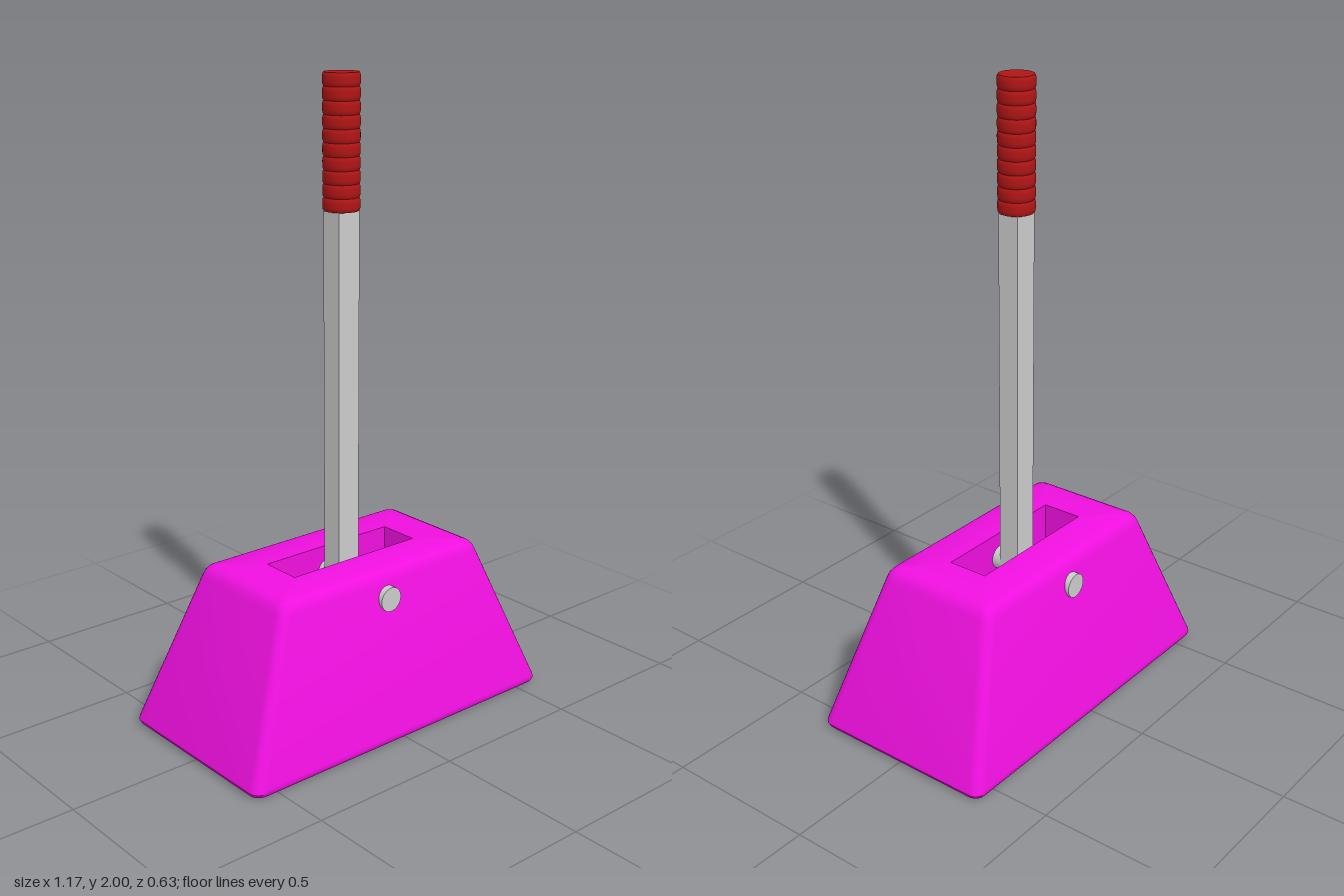
import * as THREE from 'three';
import { toCreasedNormals } from 'three/addons/utils/BufferGeometryUtils.js';

const grey = new THREE.MeshStandardMaterial({ color: 0xcccccc });
const magenta = new THREE.MeshStandardMaterial({ color: 0xf010e0 });
const red = new THREE.MeshStandardMaterial({ color: 0xb01515 });

// Crease at a larger scale so that close vertices are kept apart
function crease(geometry, angle) {
  const g = toCreasedNormals(geometry.scale(100, 100, 100), angle);
  return g.scale(0.01, 0.01, 0.01);
}

// Horizontal rounded rectangle at height y
function ring([y, hx, hz, r]) {
  const points = [], steps = 6;
  for (let q = 0; q < 4; q++) {
    const sx = q === 0 || q === 3 ? 1 : -1, sz = q < 2 ? -1 : 1;
    for (let i = 0; i <= steps; i++) {
      const a = (q + i / steps) * Math.PI / 2;
      points.push(new THREE.Vector3(
        sx * (hx - r) + r * Math.cos(a), y, sz * (hz - r) - r * Math.sin(a)));
    }
  }
  return points;
}

// Skin through consecutive rings
function skin(sections) {
  const rings = sections.map(ring), positions = [];
  const tri = (a, b, c) => {
    if (Math.min(a.distanceTo(b), b.distanceTo(c), c.distanceTo(a)) < 1e-6) return;
    for (const p of [a, b, c]) positions.push(p.x, p.y, p.z);
  };
  for (let k = 0; k < rings.length - 1; k++) {
    const lo = rings[k], hi = rings[k + 1];
    for (let i = 0; i < lo.length; i++) {
      const j = (i + 1) % lo.length;
      tri(lo[i], lo[j], hi[j]);
      tri(lo[i], hi[j], hi[i]);
    }
  }
  const g = new THREE.BufferGeometry();
  g.setAttribute('position', new THREE.Float32BufferAttribute(positions, 3));
  return g;
}

export function createModel() {
  const group = new THREE.Group();
  const add = (name, geometry, material, y = 0) => {
    const mesh = new THREE.Mesh(geometry, material);
    mesh.name = name;
    mesh.position.y = y;
    group.add(mesh);
    return mesh;
  };

  // Tapered base with soft edges and a slot sunk into the top: y, half x, half z, corner
  add('base', crease(skin([
    [0, 0, 0, 0],
    [0, 0.567, 0.297, 0.025],
    [0.006, 0.58, 0.309, 0.032],
    [0.018, 0.586, 0.315, 0.035],
    [0.03, 0.583, 0.313, 0.035],
    [0.485, 0.403, 0.211, 0.035],
    [0.503, 0.395, 0.205, 0.033],
    [0.516, 0.383, 0.194, 0.027],
    [0.523, 0.367, 0.18, 0.02],
    [0.523, 0.242, 0.067, 0],
    [0.1, 0.242, 0.067, 0],
    [0.1, 0, 0, 0],
  ]), 0.7), magenta);

  // Pivot pin running through the base
  add('pivotPin', new THREE.CylinderGeometry(0.039, 0.039, 0.47, 32), grey, 0.437)
    .rotation.x = Math.PI / 2;

  // Square lever shaft
  add('leverShaft', new THREE.BoxGeometry(0.08, 1.23, 0.07), grey, 0.995);

  // Ribbed grip
  const ribs = 10, pitch = 0.4 / ribs, profile = [new THREE.Vector2(0, 0)];
  for (let i = 0; i < ribs; i++) {
    for (const [t, r] of [[0, 0.052], [0.12, 0.055], [0.3, 0.056], [0.7, 0.056], [0.88, 0.055]])
      profile.push(new THREE.Vector2(r, (i + t) * pitch));
  }
  profile.push(new THREE.Vector2(0.052, 0.4), new THREE.Vector2(0, 0.4));
  add('grip', crease(new THREE.LatheGeometry(profile, 40), 0.6), red, 1.6);

  return group;
}
